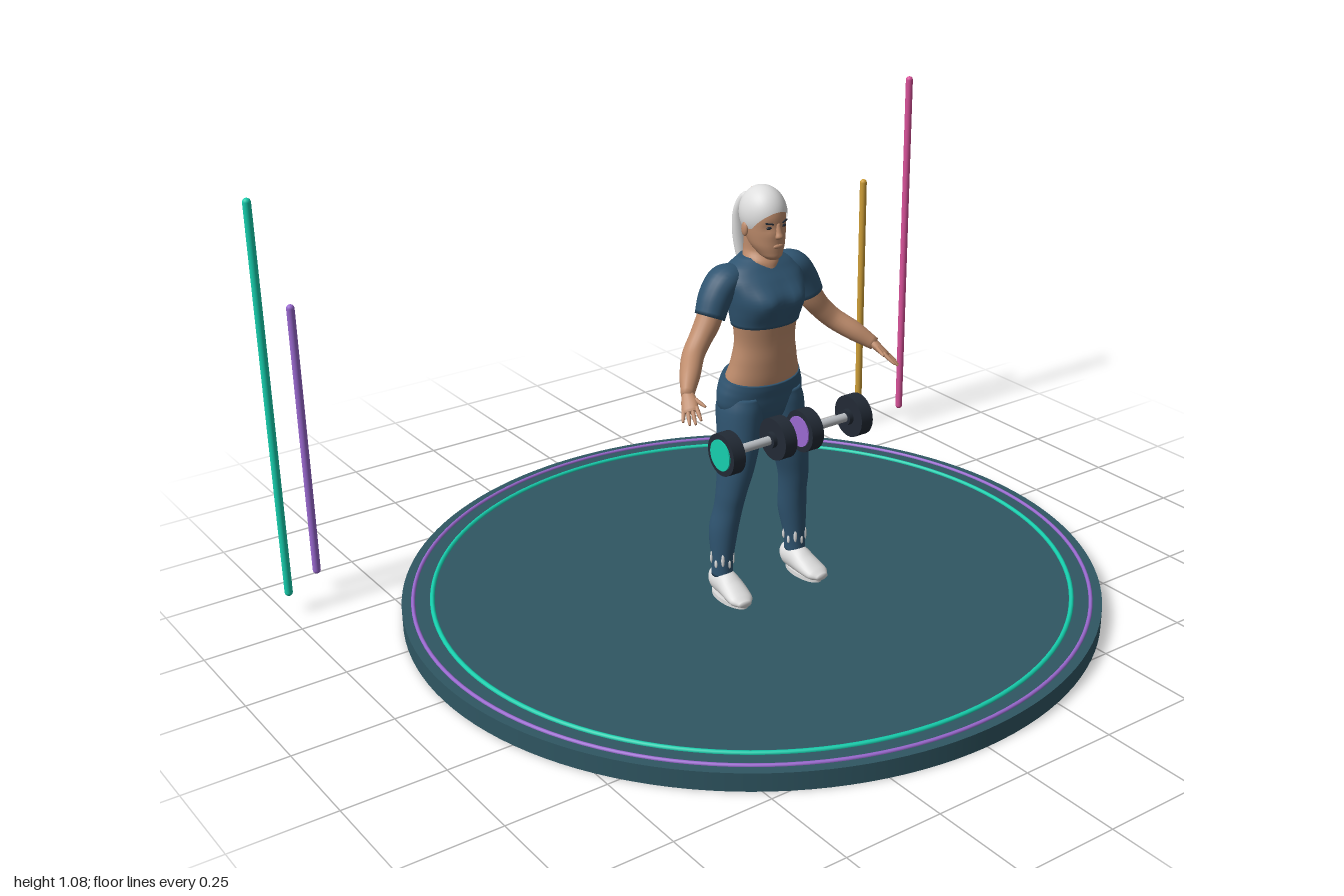
import * as THREE from 'three';

const mat = (name, color) => {
  const m = new THREE.MeshStandardMaterial({ color });
  m.name = name;
  return m;
};
const V3 = (x, y, z) => new THREE.Vector3(x, y, z);

// Smooth skin through rows of [x, y, z, halfWidth, halfDepth].
// flat: keep every ring horizontal; otherwise rings turn with the path.
function loft(rows, { flat = false, ref = V3(1, 0, 0), warp, sides = 28, per = 5 } = {}) {
  const path = new THREE.CatmullRomCurve3(rows.map(r => V3(r[0], r[1], r[2])));
  const size = new THREE.CatmullRomCurve3(rows.map(r => V3(r[3], r[4], 0)), false, 'catmullrom', 0.4);
  const n = (rows.length - 1) * per, pos = [], idx = [];
  const rise = Math.sign(rows[rows.length - 1][1] - rows[0][1]);
  const add = p => { if (warp) warp(p); pos.push(p.x, p.y, p.z); };
  for (let i = 0; i <= n; i++) {
    const c = path.getPoint(i / n), s = size.getPoint(i / n);
    const T = flat ? V3(0, rise, 0) : path.getTangent(i / n);
    const U = ref.clone().addScaledVector(T, -ref.dot(T)).normalize();
    const W = T.clone().cross(U);
    for (let j = 0; j < sides; j++) {
      const a = j / sides * Math.PI * 2;
      add(c.clone().addScaledVector(U, Math.cos(a) * s.x).addScaledVector(W, Math.sin(a) * s.y));
      const k = (j + 1) % sides, b = i * sides;
      if (i < n) idx.push(b + j, b + k, b + sides + k, b + j, b + sides + k, b + sides + j);
    }
  }
  const first = (n + 1) * sides;
  add(path.getPoint(0));
  add(path.getPoint(1));
  for (let j = 0; j < sides; j++) {
    const k = (j + 1) % sides;
    idx.push(first, k, j, first + 1, n * sides + j, n * sides + k);
  }
  const g = new THREE.BufferGeometry();
  g.setAttribute('position', new THREE.Float32BufferAttribute(pos, 3));
  g.setIndex(idx);
  g.computeVertexNormals();
  return g;
}

// Rounded bump centred on a mirrored pair of points
const bump = (p, x, y, r) => Math.exp(-(((Math.abs(p.x) - x) ** 2 + (p.y - y) ** 2) / (r * r)));

export function createModel() {
  const M = {
    floor: mat('slate floor', 0x2f5662), cloth: mat('navy cloth', 0x2f5470),
    skin: mat('skin', 0xbd8b6b), white: mat('white', 0xdedede),
    teal: mat('teal', 0x16cfae), purple: mat('purple', 0x9a69d0),
    pink: mat('pink', 0xd9529a), gold: mat('gold', 0xcf9f38),
    dark: mat('charcoal', 0x222a35), steel: mat('steel', 0xb9bdc2),
  };
  const model = new THREE.Group();
  model.name = 'trainingStage';
  const add = (name, geo, material, parent = model, x = 0, y = 0, z = 0) => {
    const m = new THREE.Mesh(geo, material);
    m.name = name;
    m.position.set(x, y, z);
    parent.add(m);
    return m;
  };
  const ball = (rx, ry, rz, w = 16, h = 12) => new THREE.SphereGeometry(1, w, h).scale(rx, ry, rz);

  // Round platform with two glowing trim rings
  add('platform', new THREE.CylinderGeometry(0.875, 0.875, 0.046, 128), M.floor, model, 0, 0.023, 0);
  const ring = (name, r, tube, m) =>
    add(name, new THREE.TorusGeometry(r, tube, 8, 128).rotateX(Math.PI / 2), m, model, 0, 0.047, 0);
  ring('outerRing', 0.847, 0.005, M.purple);
  ring('innerRing', 0.8, 0.006, M.teal);

  // Light poles behind the platform
  const pole = (name, x, z, top, m) =>
    add(name, new THREE.CapsuleGeometry(0.01, top - 0.07, 6, 16), m, model, x, (top + 0.05) / 2, z);
  pole('tallPoleRight', -0.99, -0.59, 1.075, M.teal);
  pole('shortPoleRight', -0.885, -0.657, 0.775, M.purple);
  pole('tallPoleLeft', 0.99, -0.59, 1.075, M.pink);
  pole('shortPoleLeft', 0.885, -0.657, 0.775, M.gold);

  // Dumbbells hanging in front of the thighs
  const disc = (r, len, seg = 40) => new THREE.CylinderGeometry(r, r, len, seg).rotateZ(Math.PI / 2);
  for (const s of [-1, 1]) {
    const bell = new THREE.Group();
    bell.name = s > 0 ? 'leftDumbbell' : 'rightDumbbell';
    bell.position.set(s * 0.115, 0.497, 0.16);
    model.add(bell);
    add('handle', disc(0.011, 0.16, 20), M.steel, bell);
    for (const e of [-1, 1]) {
      add('weight', disc(0.052, 0.034), M.dark, bell, e * 0.075, 0, 0);
      add('weightCap', disc(0.038, 0.004), e && s > 0 ? M.purple : M.teal, bell, e * 0.0935, 0, 0);
      add('collar', disc(0.02, 0.012, 20), M.dark, bell, e * 0.053, 0, 0);
    }
  }

  const body = new THREE.Group();
  body.name = 'athlete';
  model.add(body);

  // Torso, cropped shirt and hips
  add('midriff', loft([
    [0, 0.57, 0.033, 0.105, 0.06], [0, 0.61, 0.038, 0.102, 0.063], [0, 0.66, 0.047, 0.089, 0.057],
    [0, 0.71, 0.051, 0.081, 0.054], [0, 0.77, 0.053, 0.087, 0.058], [0, 0.8, 0.053, 0.088, 0.06],
  ], { flat: true }), M.skin, body);
  add('shirt', loft([
    [0, 0.755, 0.052, 0.089, 0.064], [0, 0.79, 0.052, 0.095, 0.07], [0, 0.83, 0.047, 0.102, 0.075],
    [0, 0.865, 0.037, 0.108, 0.066], [0, 0.892, 0.029, 0.088, 0.052], [0, 0.913, 0.023, 0.048, 0.038],
  ], { flat: true, warp: p => { if (p.z > 0.06) p.z += 0.022 * bump(p, 0.045, 0.82, 0.038); } }), M.cloth, body);
  add('hips', loft([
    [0, 0.492, 0.035, 0.045, 0.035], [0, 0.515, 0.033, 0.092, 0.056], [0, 0.55, 0.03, 0.116, 0.067],
    [0, 0.58, 0.031, 0.117, 0.068], [0, 0.602, 0.034, 0.111, 0.068], [0, 0.62, 0.037, 0.105, 0.066],
  ], { flat: true, warp: p => {
    if (p.z < 0) p.z -= 0.01 * bump(p, 0.055, 0.56, 0.04);
    p.y -= (p.z - 0.035) * 0.2 * THREE.MathUtils.smoothstep(p.y, 0.55, 0.61);
  } }), M.cloth, body);
  add('neck', loft([
    [0, 0.885, 0.05, 0.026, 0.034], [0, 0.905, 0.036, 0.042, 0.042],
    [0, 0.93, 0.025, 0.034, 0.037], [0, 0.98, 0.032, 0.034, 0.038],
  ], { flat: true }), M.skin, body);

  // Head with facial features
  add('head', loft([
    [0, 0.915, 0.078, 0.014, 0.018], [0, 0.925, 0.072, 0.026, 0.032], [0, 0.953, 0.057, 0.041, 0.048],
    [0, 0.985, 0.048, 0.047, 0.057], [0, 1.02, 0.044, 0.049, 0.06], [0, 1.05, 0.043, 0.045, 0.053],
    [0, 1.073, 0.043, 0.026, 0.033],
  ], { flat: true, warp: p => { if (p.z > 0.07) p.z -= 0.005 * bump(p, 0.02, 0.995, 0.011); } }), M.skin, body);
  add('nose', loft([
    [0, 1.005, 0.1, 0.005, 0.005], [0, 0.985, 0.105, 0.007, 0.007], [0, 0.973, 0.107, 0.01, 0.009],
    [0, 0.966, 0.101, 0.006, 0.005],
  ], { flat: true, sides: 12 }), M.skin, body);
  add('lips', ball(0.014, 0.006, 0.006), M.skin, body, 0, 0.95, 0.102);
  for (const s of [-1, 1]) {
    add('eye', ball(0.008, 0.0035, 0.004), M.dark, body, s * 0.02, 0.995, 0.095);
    const brow = add('brow', new THREE.BoxGeometry(0.019, 0.003, 0.005), M.dark, body, s * 0.021, 1.006, 0.098);
    brow.rotation.set(0, s * 0.4, s * 0.15);
    add('ear', ball(0.006, 0.017, 0.011), M.skin, body, s * 0.05, 0.985, 0.04);
  }

  // Swept-back hair and ponytail
  const hair = new THREE.SphereGeometry(1, 40, 28, 0, Math.PI * 2, 0, 2.09).rotateX(-0.75).scale(0.053, 0.066, 0.063);
  const hairMat = M.white;
  hairMat.side = THREE.DoubleSide;
  add('hair', hair, hairMat, body, 0, 1.017, 0.044);
  add('ponytail', loft([
    [0, 1.035, 0, 0.012, 0.01], [0, 1.04, -0.022, 0.014, 0.012], [0, 1.005, -0.042, 0.021, 0.015],
    [0, 0.95, -0.047, 0.021, 0.015], [0, 0.89, -0.04, 0.015, 0.011], [0, 0.85, -0.032, 0.004, 0.004],
  ], { sides: 16 }), M.white, body);

  for (const s of [-1, 1]) {
    const side = s > 0 ? 'left' : 'right';
    const flip = rows => rows.map(([x, ...r]) => [x * s, ...r]);
    const Z = { ref: V3(0, 0, 1), sides: 20 };

    // Sleeve and arm
    add(side + 'Sleeve', loft(flip([
      [0.06, 0.872, 0.025, 0.035, 0.028], [0.098, 0.864, 0.025, 0.044, 0.038],
      [0.125, 0.832, 0.027, 0.042, 0.039], [0.146, 0.787, 0.033, 0.037, 0.036],
    ]), Z), M.cloth, body);
    add(side + 'Arm', loft(flip([
      [0.13, 0.82, 0.029, 0.03, 0.03], [0.153, 0.775, 0.034, 0.031, 0.03], [0.18, 0.74, 0.04, 0.028, 0.027],
      [0.207, 0.712, 0.052, 0.027, 0.026], [0.243, 0.682, 0.09, 0.024, 0.024], [0.277, 0.652, 0.128, 0.014, 0.016],
    ]), Z), M.skin, body);

    // Hand: palm, four fingers and a thumb
    const dir = V3(0.35 * s, -0.55, 0.75).normalize(), across = V3(-0.75 * s, 0.3, 0.55).normalize();
    const wrist = V3(0.275 * s, 0.654, 0.126);
    const at = (d, a) => wrist.clone().addScaledVector(dir, d).addScaledVector(across, a);
    const tube = (pts, radii, o) => loft(pts.map((p, i) => [p.x, p.y, p.z, ...radii[i]]), o);
    add(side + 'Palm', tube([at(-0.005, 0), at(0.02, 0.001), at(0.04, 0), at(0.048, 0)],
      [[0.014, 0.012], [0.019, 0.01], [0.019, 0.008], [0.015, 0.005]], { ref: across, sides: 16 }), M.skin, body);
    const digit = (name, a, b) => add(name, tube([a, a.clone().lerp(b, 0.55), b],
      [[0.0052, 0.0052], [0.0048, 0.0048], [0.0028, 0.0028]], { ref: across, sides: 8, per: 3 }), M.skin, body);
    [0.068, 0.08, 0.083, 0.077].forEach((len, i) =>
      digit(side + 'Finger', at(0.038, (i - 1.5) * 0.01), at(len, (i - 1.5) * 0.014)));
    digit(side + 'Thumb', at(0.015, 0.014), at(0.045, 0.036));

    // Legging leg
    add(side + 'Leg', loft(flip([
      [0.113, 0.1, 0.029, 0.025, 0.03], [0.112, 0.14, 0.029, 0.026, 0.03], [0.106, 0.22, 0.026, 0.033, 0.041],
      [0.099, 0.28, 0.036, 0.032, 0.041], [0.094, 0.33, 0.044, 0.035, 0.044], [0.081, 0.4, 0.046, 0.044, 0.052],
      [0.068, 0.47, 0.04, 0.051, 0.059], [0.06, 0.54, 0.033, 0.055, 0.064], [0.055, 0.575, 0.033, 0.05, 0.058],
    ]), { flat: true }), M.cloth, body);

    // Leaf pattern round the ankle
    for (let i = 0; i < 10; i++) {
      const a = i / 10 * Math.PI * 2;
      const leaf = add('ankleLeaf', ball(0.0045, i % 2 ? 0.017 : 0.011, 0.0025, 8, 6), M.white, body,
        s * 0.112 + Math.sin(a) * 0.0275, i % 2 ? 0.15 : 0.138, 0.029 + Math.cos(a) * 0.0315);
      leaf.rotation.y = a;
    }

    // Shoe, flattened underneath
    add(side + 'Shoe', loft(flip([
      [0.111, 0.076, -0.008, 0.016, 0.018], [0.111, 0.082, 0.008, 0.027, 0.031], [0.112, 0.083, 0.045, 0.03, 0.034],
      [0.114, 0.075, 0.08, 0.033, 0.025], [0.118, 0.066, 0.117, 0.031, 0.016], [0.12, 0.062, 0.138, 0.016, 0.008],
    ]), { sides: 24, warp: p => { p.y = Math.max(p.y, 0.053); } }), M.white, body);
    add(side + 'Sole', new THREE.CylinderGeometry(1, 1, 0.012, 32).scale(0.029, 1, 0.065), M.white, body, s * 0.115, 0.051, 0.065);
  }
  return model;
}
